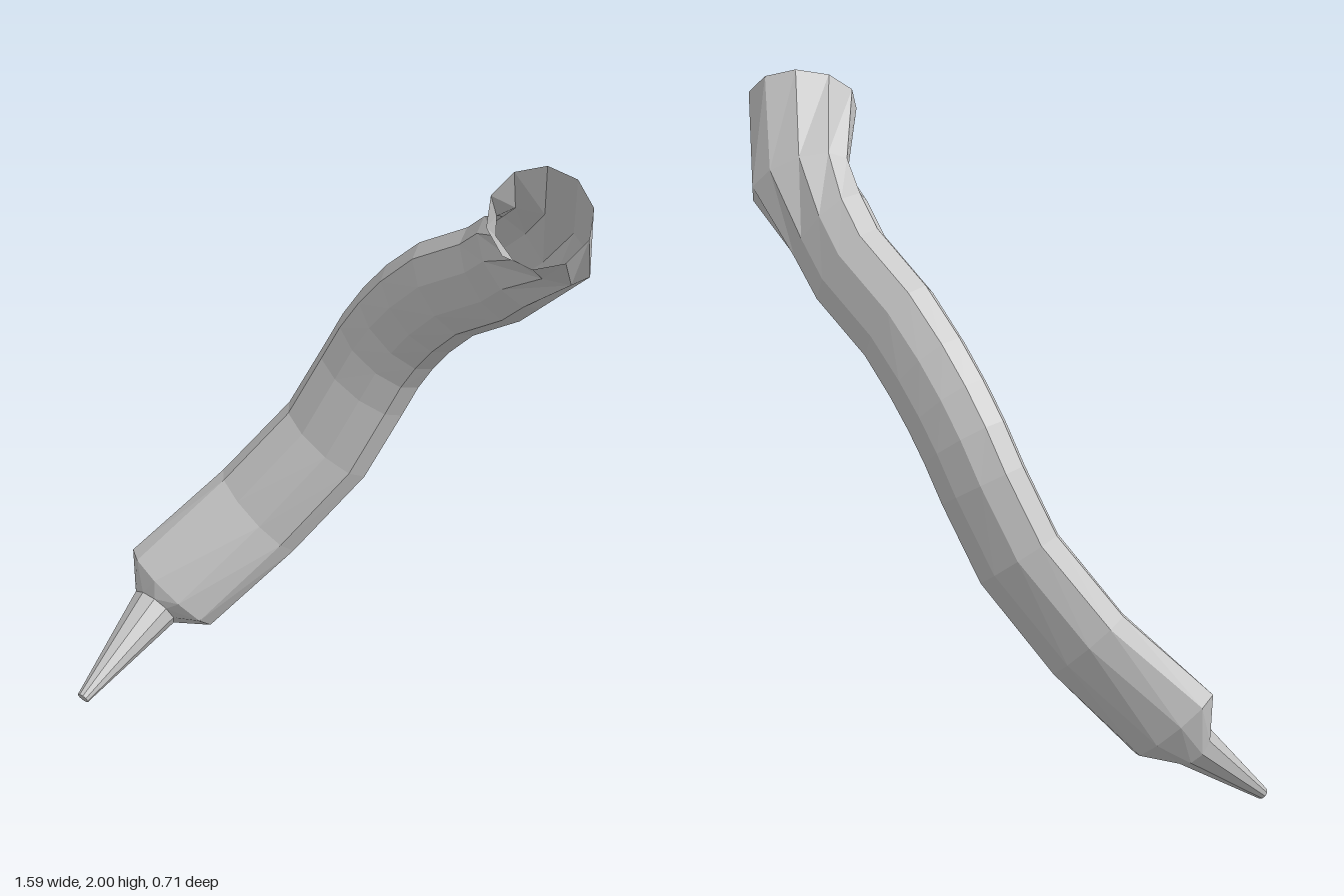
import * as THREE from 'three';

const SIDES = 10;
const V = (a) => new THREE.Vector3(...a);

// A cross-section: centre c, half-width vector w, half-depth vector n.
const section = (c, w, n) => ({ c: V(c), w: V(w), n: V(n) });

// Skins a run of elliptical sections; optionally closes the first one.
function loft(name, sections, material, capStart = false) {
  const pos = [], index = [];
  sections.forEach(({ c, w, n }) => {
    for (let j = 0; j < SIDES; j++) {
      const a = (j / SIDES) * Math.PI * 2;
      const p = c.clone().addScaledVector(w, Math.cos(a)).addScaledVector(n, Math.sin(a));
      pos.push(p.x, p.y, p.z);
    }
  });
  for (let i = 0; i < sections.length - 1; i++) {
    for (let j = 0; j < SIDES; j++) {
      const k = (j + 1) % SIDES;
      const a = i * SIDES + j, b = i * SIDES + k;
      index.push(a, b, b + SIDES, a, b + SIDES, a + SIDES);
    }
  }
  if (capStart) for (let j = 1; j < SIDES - 1; j++) index.push(0, j + 1, j);
  const geo = new THREE.BufferGeometry();
  geo.setAttribute('position', new THREE.Float32BufferAttribute(pos, 3));
  geo.setIndex(index);
  const flat = geo.toNonIndexed();
  flat.computeVertexNormals();
  const mesh = new THREE.Mesh(flat, material);
  mesh.name = name;
  return mesh;
}

export function createModel() {
  const group = new THREE.Group();
  group.name = 'curvedHorn';
  const material = new THREE.MeshStandardMaterial({
    color: 0xcccccc, flatShading: true, side: THREE.DoubleSide,
  });

  // Centre line of the flattened, S-bent tube, from the tip end upwards
  const path = [
    [-0.68, 0.255, 0.03], [-0.495, 0.49, -0.13], [-0.325, 0.73, -0.225],
    [-0.225, 0.935, -0.258], [-0.165, 1.05, -0.262], [-0.1, 1.145, -0.255],
    [-0.02, 1.24, -0.24], [0.1, 1.355, -0.21], [0.3, 1.488, -0.16],
    [0.4, 1.58, -0.115], [0.545, 1.70, -0.06],
  ].map(V);

  // Collar where the tube turns into the funnel
  const collar = section([0.545, 1.70, -0.06], [-0.137, 0.07, 0.035], [-0.015, -0.055, 0.06]);

  const tube = path.slice(0, -1).map((c, i) => {
    const t = path[i + 1].clone().sub(path[Math.max(i - 1, 0)]).normalize();
    const w = new THREE.Vector3(-t.y, t.x, i === 0 ? 0.13 : 0).normalize();
    const n = t.clone().cross(w).normalize();
    return { c, w: w.multiplyScalar(0.152), n: n.multiplyScalar(0.085) };
  });
  tube.push(collar);

  // Pointed nozzle: narrow round base tapering to a small closed tip
  const base = section([-0.71, 0.2, 0.07], [-0.052, 0.042, 0.019], [0.045, 0.04, 0.035]);
  const tip = {
    c: V([-0.757, 0.017, 0.352]),
    w: base.w.clone().multiplyScalar(0.26),
    n: base.n.clone().multiplyScalar(0.26),
  };

  // Open flared mouth
  const rim = section([0.645, 1.893, 0.095], [-0.145, 0.041, 0.036], [0.001, -0.1, 0.117]);

  group.add(
    loft('nozzle', [tip, base], material, true),
    loft('shoulder', [base, tube[0]], material),
    loft('tube', tube, material),
    loft('funnel', [collar, rim], material),
  );
  return group;
}
